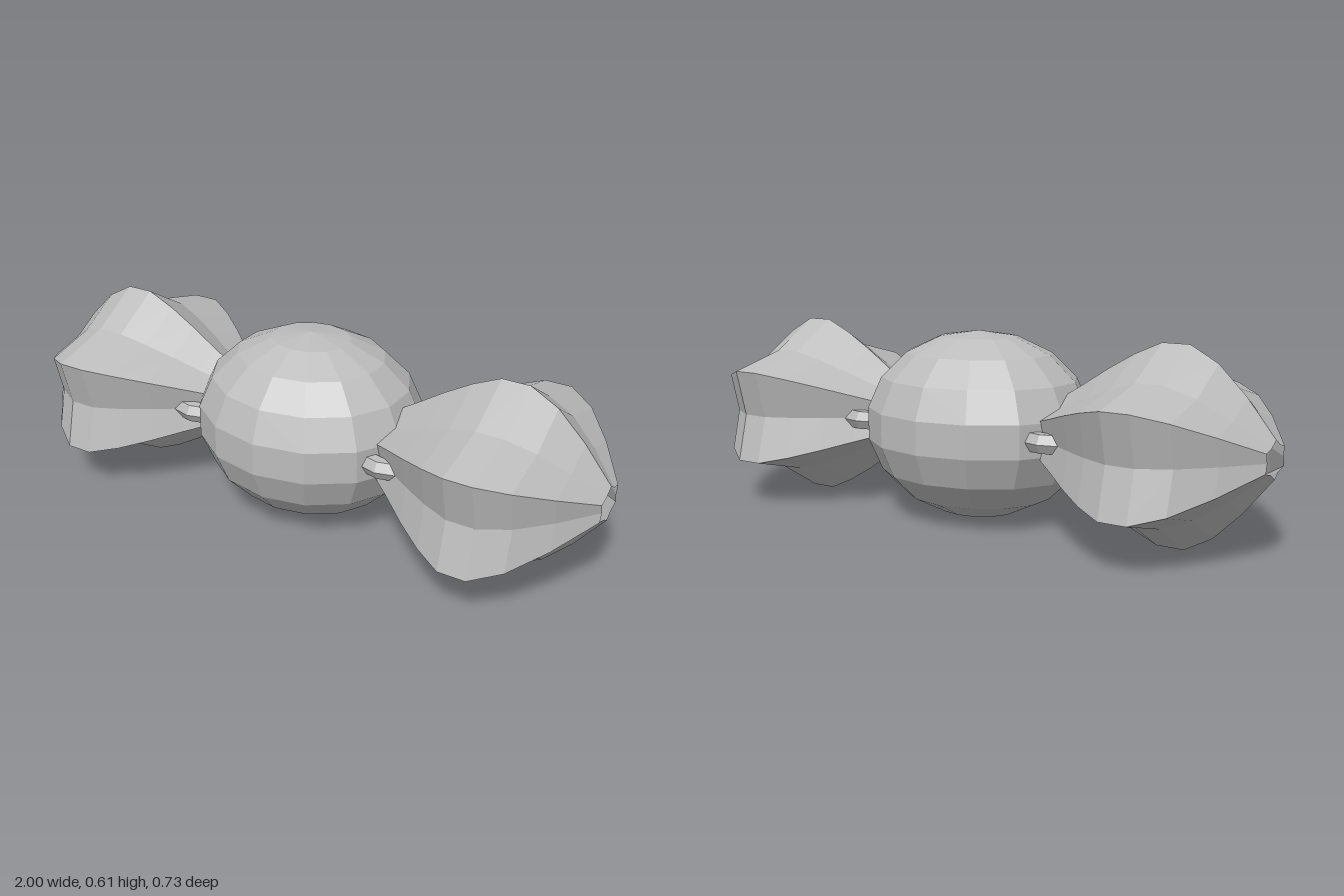
import * as THREE from 'three';

const MID_Y = 0.304;

// Pleated wrapper end: a six-pointed star section swept along x, open at both ends
function pleatedFan() {
  const scales = [0.185, 0.55, 0.84, 1, 1, 0.87, 0.7, 0.51, 0.33];
  const sides = 12;
  const positions = [];
  const index = [];
  scales.forEach((s, i) => {
    for (let j = 0; j < sides; j++) {
      const a = (j / sides) * Math.PI * 2;
      const r = s * (j % 2 ? 1 : 0.775); // ridge or valley
      positions.push(1 - i * 0.0885, Math.sin(a) * 0.303 * r, Math.cos(a) * 0.42 * r);
      if (i === scales.length - 1) continue;
      const p = i * sides + j;
      const q = i * sides + ((j + 1) % sides);
      index.push(p, q, p + sides, q, q + sides, p + sides);
    }
  });
  const geo = new THREE.BufferGeometry();
  geo.setAttribute('position', new THREE.Float32BufferAttribute(positions, 3));
  geo.setIndex(index);
  geo.computeVertexNormals();
  return geo;
}

export function createModel() {
  const group = new THREE.Group();
  const grey = new THREE.MeshStandardMaterial({
    color: 0xbcbcbc, flatShading: true, side: THREE.DoubleSide,
  });
  grey.name = 'grey';

  const add = (name, geo, x = 0) => {
    const mesh = new THREE.Mesh(geo, grey);
    mesh.name = name;
    mesh.position.set(x, MID_Y, 0);
    group.add(mesh);
    return mesh;
  };

  // Rounded sweet in the middle
  add('body', new THREE.SphereGeometry(1, 14, 9).rotateY(Math.PI / 2).scale(0.38, 0.302, 0.338));

  // Flat-lying tie rings and pleated wrapper ends on both sides
  const fan = pleatedFan();
  const ring = new THREE.TorusGeometry(0.172, 0.033, 6, 12).rotateX(Math.PI / 2);
  for (const side of [1, -1]) {
    const name = side > 0 ? 'left' : 'right';
    add(name + 'TieRing', ring, side * 0.35);
    add(name + 'WrapperEnd', fan).rotation.y = side > 0 ? 0 : Math.PI;
  }
  return group;
}
